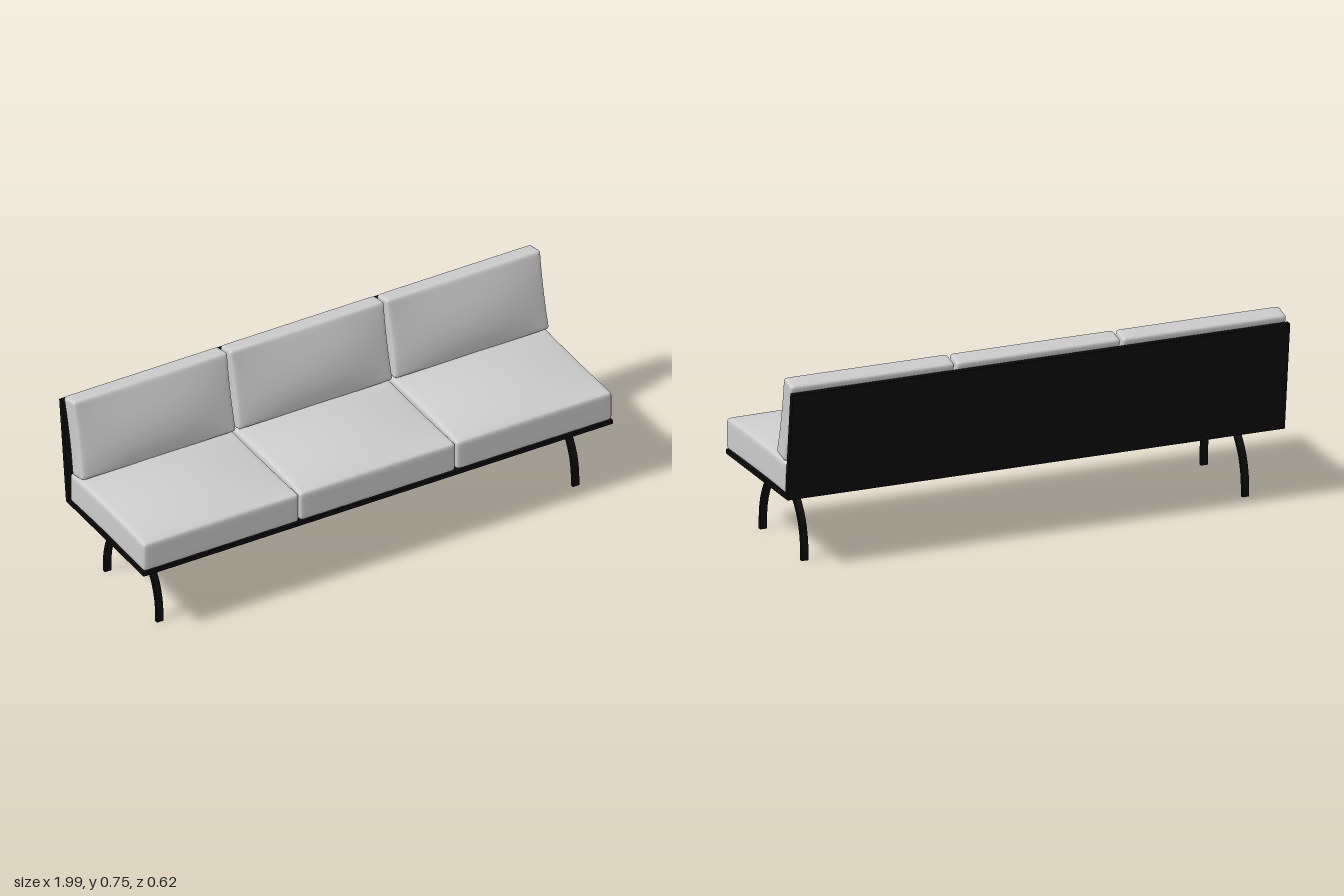
import * as THREE from 'three';
import { mergeVertices } from 'three/addons/utils/BufferGeometryUtils.js';

const fabric = new THREE.MeshStandardMaterial({ color: 0xcccccc });
const black = new THREE.MeshStandardMaterial({ color: 0x0a0a0a });

function add(parent, name, geometry, material, x = 0, y = 0, z = 0) {
  const mesh = new THREE.Mesh(geometry, material);
  mesh.name = name;
  mesh.position.set(x, y, z);
  parent.add(mesh);
  return mesh;
}

// Side profile given as [z, y] points, extruded across x and centred on x = 0
function sideExtrude(points, width) {
  const shape = new THREE.Shape(points.map(([z, y]) => new THREE.Vector2(z, y)));
  const geometry = new THREE.ExtrudeGeometry(shape, { depth: width, bevelEnabled: false });
  return geometry.translate(0, 0, -width / 2).rotateY(-Math.PI / 2);
}

// Rounded pad whose upper face (+y) swells; sag shifts the swelling towards +z
function cushionGeometry(w, h, d, radius, bulge, sag = 0) {
  let geometry = new THREE.BoxGeometry(2, 2, 2, 24, 12, 24);
  geometry.deleteAttribute('normal');
  geometry.deleteAttribute('uv');
  geometry = mergeVertices(geometry);
  const half = new THREE.Vector3(w / 2, h / 2, d / 2);
  const inner = half.clone().subScalar(radius);
  const low = inner.clone().negate();
  const ease = (t) => Math.sign(t) * (1 - (1 - Math.abs(t)) ** 2); // denser rows near edges
  const pos = geometry.attributes.position;
  const p = new THREE.Vector3();
  for (let i = 0; i < pos.count; i++) {
    p.fromBufferAttribute(pos, i);
    p.set(ease(p.x), ease(p.y), ease(p.z)).multiply(half);
    const core = p.clone().clamp(low, inner);
    p.sub(core).setLength(radius).add(core);
    const u = p.x / half.x, v = p.y / half.y, s = p.z / half.z;
    const swell = (1 - u * u) * (1 - s * s) * (1 + sag * s);
    p.y += bulge * swell * Math.max(0, v);
    // sides pull in slightly between the corners
    p.x -= 0.004 * u * (1 - s * s);
    pos.setXYZ(i, p.x, p.y, p.z);
  }
  geometry.computeVertexNormals();
  return geometry;
}

// Arched leg outline: half ellipse on short straight feet
function archPoints() {
  const cz = 0.038, cy = 0.035, steps = 24, thick = 0.015;
  const arc = (rz, ry) => Array.from({ length: steps + 1 }, (_, i) => {
    const a = (Math.PI * i) / steps;
    return [cz + rz * Math.cos(a), cy + ry * Math.sin(a)];
  });
  const rz = 0.198, ry = 0.24;
  return [
    [cz + rz, 0], ...arc(rz, ry), [cz - rz, 0],
    [cz - rz + thick, 0], ...arc(rz - thick, ry - thick).reverse(), [cz + rz - thick, 0],
  ];
}

export function createModel() {
  const sofa = new THREE.Group();
  sofa.name = 'sofa';

  // Frame
  add(sofa, 'seatBoard', new THREE.BoxGeometry(1.99, 0.017, 0.55), black, 0, 0.2905, 0.035);
  add(sofa, 'backBoard', sideExtrude(
    [[-0.235, 0.282], [-0.285, 0.707], [-0.309, 0.707], [-0.259, 0.282]], 1.99), black);
  add(sofa, 'underBeam', new THREE.BoxGeometry(1.74, 0.054, 0.21), black, 0, 0.255, 0.04);

  // Arched legs at both ends
  const legGeometry = sideExtrude(archPoints(), 0.027);
  for (const [name, x] of [['leftLeg', 0.882], ['rightLeg', -0.882]]) {
    add(sofa, name, legGeometry, black, x);
  }

  // Three seat and back cushions
  const seat = cushionGeometry(0.662, 0.123, 0.545, 0.015, 0.034);
  const back = cushionGeometry(0.657, 0.08, 0.32, 0.014, 0.025, 0.4);
  const lean = THREE.MathUtils.degToRad(12);
  ['right', 'middle', 'left'].forEach((side, i) => {
    const x = (i - 1) * 0.664;
    add(sofa, side + 'SeatCushion', seat, fabric, x, 0.3605, 0.0375);
    add(sofa, side + 'BackCushion', back, fabric, x, 0.583, -0.216)
      .rotation.x = Math.PI / 2 - lean;
  });

  return sofa;
}
